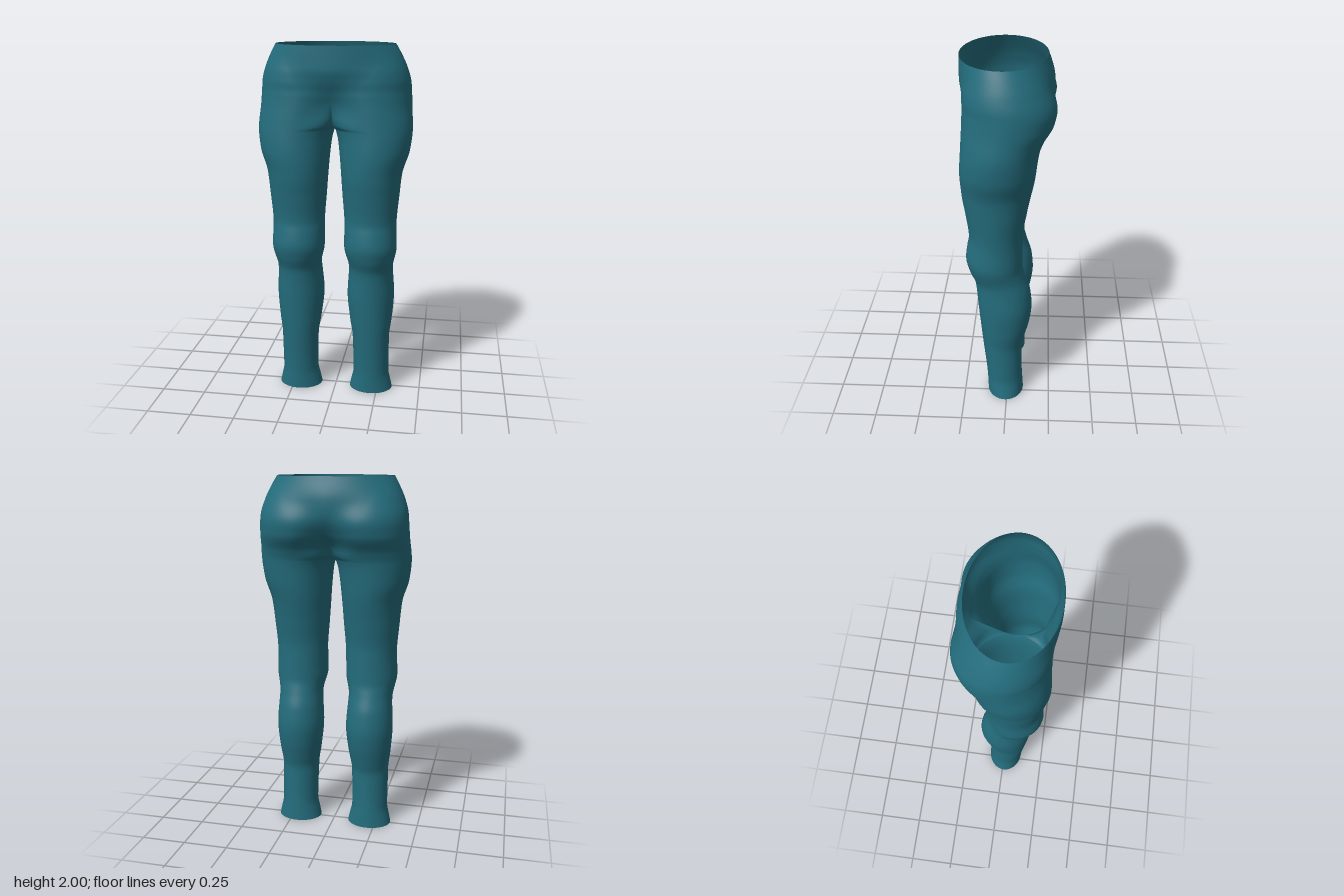
import * as THREE from 'three';
import { mergeVertices } from 'three/addons/utils/BufferGeometryUtils.js';

const CROTCH = 1.56;
const AROUND = 64;

// Smooth curve through [height, value] keys, without overshoot
function profile(keys) {
  const slope = (i) => (keys[i + 1][1] - keys[i][1]) / (keys[i + 1][0] - keys[i][0]);
  const last = keys.length - 1;
  const tangent = (i) => {
    if (i === 0) return slope(0);
    if (i === last) return slope(last - 1);
    const a = slope(i - 1), b = slope(i);
    return a * b <= 0 ? 0 : (2 * a * b) / (a + b);
  };
  return (y) => {
    if (y <= keys[0][0]) return keys[0][1];
    if (y >= keys[last][0]) return keys[last][1];
    let i = 0;
    while (y > keys[i + 1][0]) i++;
    const h = keys[i + 1][0] - keys[i][0], t = (y - keys[i][0]) / h;
    const t2 = t * t, t3 = t2 * t;
    return (2 * t3 - 3 * t2 + 1) * keys[i][1] + (t3 - 2 * t2 + t) * h * tangent(i)
      + (3 * t2 - 2 * t3) * keys[i + 1][1] + (t3 - t2) * h * tangent(i + 1);
  };
}

// Outline of one leg and hip by height
const outer = profile([[0, 0.337], [0.05, 0.326], [0.11, 0.315], [0.33, 0.315], [0.45, 0.328], [0.6, 0.338],
  [0.77, 0.329], [0.9, 0.35], [1.02, 0.345], [1.2, 0.358], [1.32, 0.37], [1.45, 0.408], [1.56, 0.419],
  [1.66, 0.412], [1.8, 0.402], [1.88, 0.38], [1.95, 0.348], [2, 0.32]]);
const inner = profile([[0, 0.085], [0.05, 0.096], [0.11, 0.108], [0.33, 0.103], [0.45, 0.085], [0.6, 0.07],
  [0.78, 0.08], [0.9, 0.057], [1.02, 0.057], [1.2, 0.045], [1.4, 0.03], [1.5, 0.018], [1.54, 0.008], [CROTCH, 0]]);
const front = profile([[0, 0.112], [0.1, 0.116], [0.4, 0.145], [0.6, 0.163], [0.76, 0.177], [0.84, 0.208],
  [0.92, 0.226], [1, 0.216], [1.05, 0.207], [1.2, 0.224], [1.3, 0.239], [1.42, 0.246], [1.6, 0.236],
  [1.76, 0.229], [1.82, 0.243], [1.88, 0.254], [2, 0.252]]);
const back = profile([[0, -0.095], [0.2, -0.085], [0.32, -0.084], [0.4, -0.102], [0.5, -0.127], [0.6, -0.139],
  [0.7, -0.13], [0.8, -0.1], [0.87, -0.084], [1.05, -0.085], [1.2, -0.106], [1.4, -0.145], [1.55, -0.165],
  [1.61, -0.187], [1.7, -0.238], [1.79, -0.253], [1.88, -0.242], [2, -0.203]]);

// How far the middle seam has opened to the front and the back above the crotch
const frontSeam = profile([[CROTCH, 0], [1.58, 0.35], [1.62, 0.6], [1.7, 0.82], [1.8, 0.97], [1.9, 1], [2, 1]]);
const backSeam = profile([[CROTCH, 0], [1.58, 0.25], [1.62, 0.47], [1.7, 0.76], [1.8, 0.91], [2, 1]]);
const hipCentre = profile([[CROTCH, 0.2095], [1.8, 0.165], [2, 0.15]]);

// One point of the left half: t runs from the inner seam past front, side and back
function pointAt(y, t) {
  const xo = outer(y), xi = inner(y), zf = front(y), zb = back(y);
  const above = y >= CROTCH;
  const cx = above ? hipCentre(y) : (xo + xi) / 2;
  const cz = (zf + zb) / 2;
  const a = t * Math.PI * 2, c = Math.cos(a), s = Math.sin(a);
  const isFront = t < 0.5;
  const edge = isFront ? zf : zb;
  let x = cx - c * (c > 0 ? cx - xi : xo - cx);
  let z = cz + (edge - cz) * Math.abs(s);
  if (above) {
    if (c > 0) {
      const seam = cz + (edge - cz) * (isFront ? frontSeam(y) : backSeam(y));
      const k = THREE.MathUtils.smoothstep(y, CROTCH, 1.72);
      const f = THREE.MathUtils.lerp(Math.abs(s), (1 + Math.cos(Math.PI * c)) / 2, k);
      z = seam + (edge - seam) * f;
    }
    // The hips merge into a plain oval at the waist
    const w = THREE.MathUtils.smoothstep(y, 1.74, 2);
    x = THREE.MathUtils.lerp(x, xo * Math.sin(Math.PI * t), w);
    z = THREE.MathUtils.lerp(z, cz + (zf - cz) * Math.cos(Math.PI * t), w);
    if (t === 0 || t === 1) x = 0;
  }
  return [x, y, z];
}

// Both mirrored halves as one welded, open-ended skin
function trouserGeometry() {
  const heights = [];
  for (let i = 0; i < 90; i++) heights.push((CROTCH * i) / 90);
  for (let i = 0; i <= 44; i++) heights.push(CROTCH + (2 - CROTCH) * Math.pow(i / 44, 1.5));
  const positions = [], index = [];
  const stride = AROUND + 1;
  for (const side of [1, -1]) {
    const base = positions.length / 3;
    for (const y of heights) {
      for (let j = 0; j <= AROUND; j++) {
        const [x, py, z] = pointAt(y, j / AROUND);
        positions.push(x * side, py, z);
      }
    }
    for (let i = 0; i < heights.length - 1; i++) {
      for (let j = 0; j < AROUND; j++) {
        const a = base + i * stride + j, b = a + 1, c = a + stride, d = c + 1;
        if (side > 0) index.push(a, b, c, b, d, c);
        else index.push(a, c, b, b, c, d);
      }
    }
  }
  const geometry = new THREE.BufferGeometry();
  geometry.setAttribute('position', new THREE.Float32BufferAttribute(positions, 3));
  geometry.setIndex(index);
  const welded = mergeVertices(geometry, 1e-5);
  welded.computeVertexNormals();
  return welded;
}

export function createModel() {
  const group = new THREE.Group();
  group.name = 'trousers';
  const teal = new THREE.MeshStandardMaterial({ color: 0x246c7c, side: THREE.DoubleSide });
  teal.name = 'teal cloth';
  const mesh = new THREE.Mesh(trouserGeometry(), teal);
  mesh.name = 'trouserLegsAndHips';
  group.add(mesh);
  return group;
}
